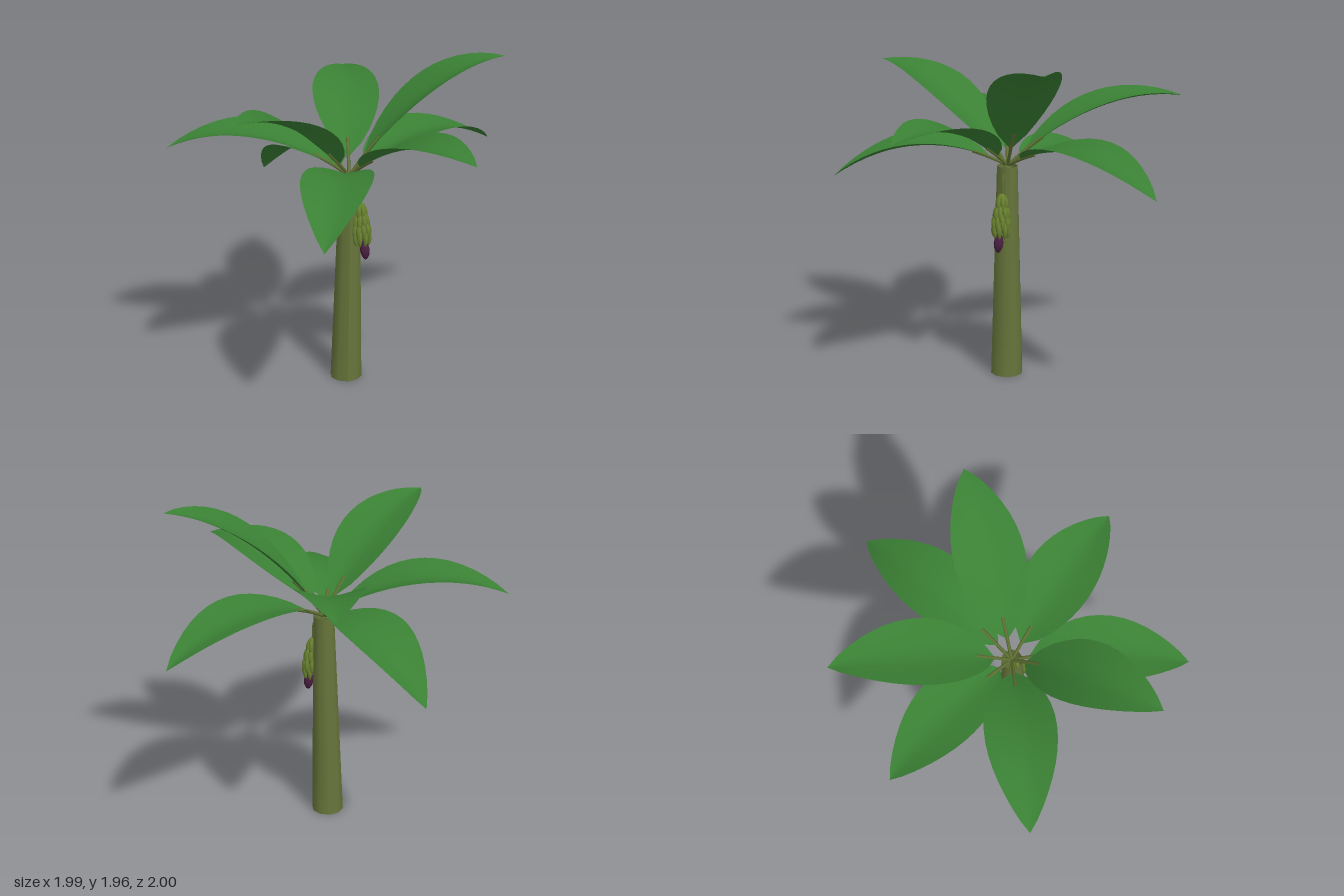
import * as THREE from 'three';

const mat = (color, side = THREE.FrontSide) => new THREE.MeshStandardMaterial({ color, side });
const leafMat = mat(0x3a8034, THREE.DoubleSide);
const trunkMat = mat(0x66743a, THREE.DoubleSide);
const stalkMat = mat(0x5f7034);
const fruitMat = mat(0x6a8230);
const budMat = mat(0x4a2042);

const CROWN = new THREE.Vector3(0.04, 1.28, 0.015);

function add(parent, name, geometry, material) {
  const mesh = new THREE.Mesh(geometry, material);
  mesh.name = name;
  parent.add(mesh);
  return mesh;
}

// Leaf rib: a parabola from the crown through a mid height to the tip
function ribCurve([x, y, z, mid]) {
  const rise = y - CROWN.y, half = mid - CROWN.y;
  const a = 4 * half - rise, b = 2 * rise - 4 * half;
  return t => new THREE.Vector3(
    CROWN.x + (x - CROWN.x) * t,
    CROWN.y + a * t + b * t * t,
    CROWN.z + (z - CROWN.z) * t);
}

// Blade: a strip along the rib, folded upward into a shallow V
function bladeGeometry(rib, start, halfWidth) {
  const rows = 14, cols = 6;
  const pos = [], index = [];
  const tip = rib(1), up = new THREE.Vector3(0, 1, 0);
  const side = new THREE.Vector3(tip.z - CROWN.z, 0, CROWN.x - tip.x).normalize();
  for (let i = 0; i <= rows; i++) {
    const s = i / rows, t = start + (1 - start) * s;
    const p = rib(t);
    const tangent = rib(t + 0.01).sub(rib(t - 0.01)).normalize();
    const normal = up.clone().addScaledVector(tangent, -tangent.y).normalize();
    const w = halfWidth * Math.pow(Math.max(0, Math.sin(Math.PI * Math.pow(s, 0.85))), 0.85) + 0.008 * (1 - s);
    for (let j = 0; j <= cols; j++) {
      const u = (j / cols) * 2 - 1;
      const q = p.clone().addScaledVector(side, u * w)
        .addScaledVector(normal, 0.25 * w * Math.pow(Math.abs(u), 1.3));
      pos.push(q.x, q.y, q.z);
      if (i < rows && j < cols) {
        const k = i * (cols + 1) + j, n = k + cols + 1;
        index.push(k, k + 1, n, k + 1, n + 1, n);
      }
    }
  }
  const g = new THREE.BufferGeometry();
  g.setAttribute('position', new THREE.Float32BufferAttribute(pos, 3));
  g.setIndex(index);
  g.computeVertexNormals();
  return g;
}

// Leaning, tapered trunk
function trunkGeometry() {
  const g = new THREE.CylinderGeometry(0.061, 0.095, 1.28, 10, 6, true);
  g.translate(0, 0.64, 0);
  const p = g.attributes.position;
  for (let i = 0; i < p.count; i++) {
    p.setX(i, p.getX(i) + 0.023 + 0.02 * p.getY(i) / 1.28);
    p.setZ(i, p.getZ(i) + 0.017);
  }
  g.computeVertexNormals();
  return g;
}

// One fruit, tapered at both ends and bowed outward toward +x
function fruitGeometry() {
  const g = new THREE.SphereGeometry(1, 7, 8);
  g.scale(0.0145, 0.058, 0.0145);
  const p = g.attributes.position;
  for (let i = 0; i < p.count; i++) p.setX(i, p.getX(i) - 4 * p.getY(i) ** 2);
  g.computeVertexNormals();
  return g;
}

function fruitBunch() {
  const bunch = new THREE.Group();
  bunch.name = 'fruitBunch';
  const path = new THREE.CatmullRomCurve3([
    new THREE.Vector3(0.07, 1.25, 0.035),
    new THREE.Vector3(0.095, 1.22, 0.052),
    new THREE.Vector3(0.1, 1.1, 0.058),
    new THREE.Vector3(0.11, 0.98, 0.068),
    new THREE.Vector3(0.125, 0.86, 0.083)]);
  add(bunch, 'fruitStalk', new THREE.TubeGeometry(path, 16, 0.009, 6), stalkMat);

  // Tiers of hanging fruit: height, ring radius, count, centre x and z
  const fruit = fruitGeometry();
  const tiers = [
    [1.075, 0.026, 6, 0.102, 0.06],
    [1.015, 0.038, 8, 0.105, 0.063],
    [0.965, 0.045, 9, 0.107, 0.066],
    [0.925, 0.043, 8, 0.109, 0.068]];
  tiers.forEach(([y, r, count, cx, cz], row) => {
    for (let i = 0; i < count; i++) {
      const a = ((i + row * 0.5) / count) * Math.PI * 2;
      const m = add(bunch, 'fruit', fruit, fruitMat);
      m.position.set(cx + r * Math.cos(a), y, cz - r * Math.sin(a));
      m.rotation.set(0, a, 0.16);
    }
  });

  // Flower bud at the end of the stalk
  const profile = [[0, -0.06], [0.012, -0.052], [0.025, -0.028], [0.029, 0], [0.024, 0.03], [0.012, 0.055], [0, 0.06]]
    .map(([x, y]) => new THREE.Vector2(x, y));
  const bud = add(bunch, 'flowerBud', new THREE.LatheGeometry(profile, 10), budMat);
  bud.position.set(0.125, 0.84, 0.085);
  bud.rotation.set(-0.08, 0, 0.08);
  return bunch;
}

export function createModel() {
  const model = new THREE.Group();
  model.name = 'fruitPalm';
  add(model, 'trunk', trunkGeometry(), trunkMat);

  // Leaf tips x, y, z and the height of the rib halfway along
  const leaves = [
    [-1.0, 1.43, -0.18, 1.515],
    [-0.39, 1.06, -0.83, 1.325],
    [0.13, 1.67, -1.0, 1.61],
    [0.99, 1.28, -0.6, 1.44],
    [0.94, 1.96, 0.0, 1.77],
    [0.63, 1.56, 0.76, 1.55],
    [-0.22, 1.2, 1.0, 1.395],
    [-0.65, 1.81, 0.65, 1.67]];
  for (const leaf of leaves) {
    const rib = ribCurve(leaf);
    const group = new THREE.Group();
    group.name = 'leaf';
    add(group, 'leafBlade', bladeGeometry(rib, 0.1, 0.195), leafMat);
    const stem = new THREE.CatmullRomCurve3([-0.02, 0.05, 0.12, 0.2].map(rib));
    add(group, 'leafStem', new THREE.TubeGeometry(stem, 6, 0.01, 6), stalkMat);
    model.add(group);
  }

  model.add(fruitBunch());
  return model;
}
